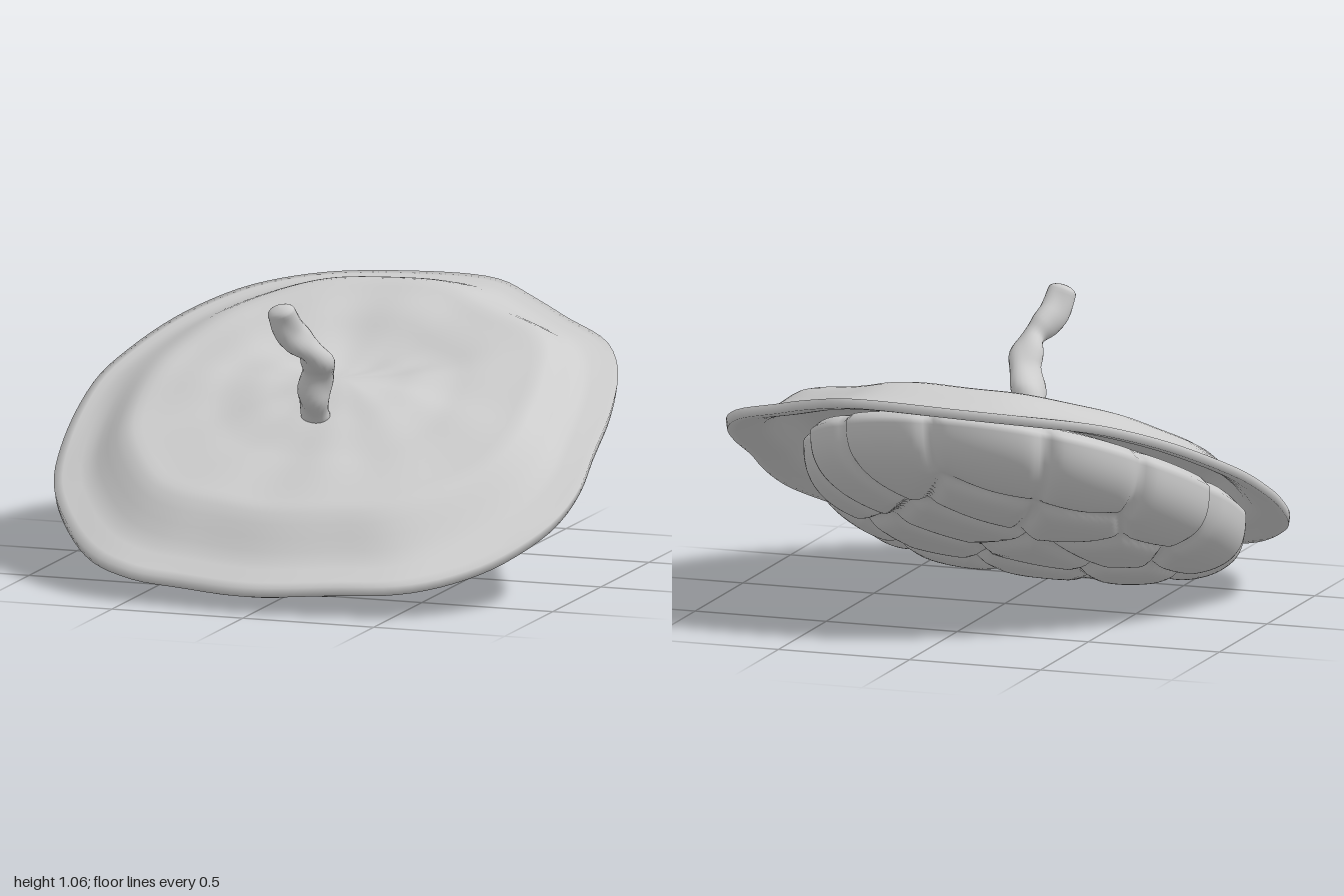
import * as THREE from 'three';

const stone = new THREE.MeshStandardMaterial({ color: 0xcccccc });
stone.name = 'pale grey';
const { smoothstep, lerp } = THREE.MathUtils;

// Closed-around grid surface: rows run outward from the top, columns counterclockwise from above
function gridSurface(name, rows, cols, pointAt) {
  const pos = [], index = [];
  for (let i = 0; i <= rows; i++)
    for (let j = 0; j < cols; j++) pos.push(...pointAt(i, j / cols));
  for (let i = 0; i < rows; i++)
    for (let j = 0; j < cols; j++) {
      const k = (j + 1) % cols;
      const a = i * cols + j, b = a + cols, c = (i + 1) * cols + k, d = i * cols + k;
      index.push(a, b, c, a, c, d);
    }
  const g = new THREE.BufferGeometry();
  g.setAttribute('position', new THREE.Float32BufferAttribute(pos, 3));
  g.setIndex(index);
  g.computeVertexNormals();
  const mesh = new THREE.Mesh(g, stone);
  mesh.name = name;
  return mesh;
}

const outline = (pts) =>
  new THREE.CatmullRomCurve3(pts.map(([x, z]) => new THREE.Vector3(x, 0, z)), true, 'centripetal');

// Smooth interpolation through [key, value] pairs
function profile(pts, s) {
  for (let i = 1; i < pts.length; i++)
    if (s <= pts[i][0]) {
      const [a, va] = pts[i - 1], [b, vb] = pts[i];
      return lerp(va, vb, smoothstep(s, a, b));
    }
  return pts[pts.length - 1][1];
}

// The whole cap slopes down to the front
const slope = (z) => 0.52 - 0.46 * z;

const capEdge = outline([
  [1, 0.2], [0.985, 0.02], [0.96, -0.22], [0.9, -0.45], [0.8, -0.6], [0.6, -0.71], [0.45, -0.8], [0.3, -0.89],
  [0.15, -0.92], [-0.2, -0.92], [-0.4, -0.88], [-0.6, -0.77], [-0.8, -0.58], [-0.93, -0.38], [-1, -0.2],
  [-1, 0.14], [-0.95, 0.38], [-0.8, 0.62], [-0.65, 0.77], [-0.5, 0.84], [-0.3, 0.87], [0, 0.91], [0.3, 0.88],
  [0.55, 0.83], [0.75, 0.68], [0.9, 0.5], [0.97, 0.36],
]);
const steepSide = [[0, 0.2], [0.25, 0.185], [0.45, 0.155], [0.72, 0.14], [0.9, 0.015], [1, 0]];
const gentleSide = [[0, 0.2], [0.25, 0.19], [0.45, 0.17], [0.66, 0.138], [0.97, 0.005], [1, 0]];

function capTop(s, x, z, t) {
  const a = t * Math.PI * 2;
  // Steep shoulder at the front and left, gentler toward the back
  const gentle = smoothstep(-0.4 * x - z, -0.1, 0.6);
  const h = lerp(profile(steepSide, s), profile(gentleSide, s), gentle);
  const hollow = 0.09 * Math.exp(-(x * x / 0.14 + (z + 0.25) ** 2 / 0.045));
  const ridge = 0.02 * Math.exp(-((x - 0.05) ** 2 / 0.04 + (z - 0.07) ** 2 / 0.008));
  const wrinkle = 0.003 * (Math.sin(11 * a + 4 * s) + Math.sin(7 * a - 6 * s)) * Math.sin(Math.PI * s) ** 2;
  const wave = 0.008 * s ** 4 * Math.sin(5 * a + 1);
  const cornerDroop = 0.025 * s ** 4 * smoothstep(Math.abs(x), 0.5, 0.85) * smoothstep(z, 0.05, 0.4);
  const rearDroop = 0.012 * smoothstep(-z, 0.72, 0.92);
  return slope(z) + h - hollow + ridge + wrinkle + wave - cornerDroop - rearDroop;
}

// Thin wavy sheet with upper and lower skin
function makeCap() {
  const cols = 120, half = 32;
  const edge = Array.from({ length: cols }, (_, j) => capEdge.getPointAt(j / cols));
  return gridSurface('cap', half * 2 + 1, cols, (i, t) => {
    const under = i > half;
    const s = (under ? half * 2 + 1 - i : i) / half;
    const p = edge[Math.round(t * cols)];
    const r = under ? s * 0.995 : s;
    const x = p.x * r, z = p.z * r;
    return [x, capTop(s, x, z, t) - (under ? 0.035 : 0), z];
  });
}

const bodyEdge = outline([
  [0.71, 0.02], [0.65, -0.33], [0.47, -0.65], [0.18, -0.84], [-0.2, -0.87], [-0.55, -0.71], [-0.78, -0.35],
  [-0.85, 0.05], [-0.78, 0.4], [-0.54, 0.64], [-0.1, 0.72], [0.3, 0.67], [0.63, 0.48],
]);
// Centres of the rounded lobes on the underside
const lobes = [
  [0.6, -0.28], [0.4, -0.56], [0.05, -0.35], [0.3, -0.04], [0.64, 0.04], [0.6, 0.37], [-0.14, -0.01],
  [-0.03, 0.25], [0.33, 0.33], [-0.38, 0.26], [-0.43, -0.1], [-0.13, -0.57], [0.2, -0.76], [-0.25, -0.8],
  [-0.4, -0.4], [-0.55, -0.62], [-0.1, 0.58], [0.28, 0.6], [-0.6, 0.48], [-0.74, 0.12], [-0.74, -0.28],
];

// Strength of the crease between the two nearest lobes
function crease(x, z) {
  const d = lobes.map(([a, b]) => Math.hypot(x - a, z - b)).sort((a, b) => a - b);
  return 1 / (1 + ((d[1] - d[0]) / 0.05) ** 2);
}

function makeBody() {
  const cols = 240, rows = 76;
  const edge = Array.from({ length: cols }, (_, j) => bodyEdge.getPointAt(j / cols));
  return gridSurface('lobedUnderside', rows, cols, (i, t) => {
    const p = edge[Math.round(t * cols)];
    const shoulder = [[0.75, 0.03], [0.88, 0], [0.96, -0.02]][i];
    let r, h;
    if (shoulder) [r, h] = shoulder;
    else {
      const a = ((i - 3) / (rows - 3)) * Math.PI / 2;
      r = Math.max(0, Math.cos(a)) ** 0.7;
      // Shallower at the front, deeper toward the right side
      const depth = 0.3 - 0.03 * p.x * r - 0.055 * smoothstep(p.z * r, 0.25, 0.65);
      h = -0.05 - depth * Math.sin(a) ** 0.7;
    }
    const c = crease(p.x * r, p.z * r);
    const inset = 1 - 0.05 * c * r ** 4;
    const x = p.x * r * inset, z = p.z * r * inset;
    return [x, slope(z) + h * (1 - 0.14 * c), z];
  });
}

// Twisted stalk leaning to the front, built from the tip down
function makeStalk() {
  const path = new THREE.CatmullRomCurve3([
    [-0.018, 1.045, 0.55], [0.0, 0.97, 0.51], [0.055, 0.89, 0.44], [0.05, 0.82, 0.35],
    [0.01, 0.72, 0.28], [-0.01, 0.64, 0.23], [-0.01, 0.57, 0.19],
  ].map((p) => new THREE.Vector3(...p)));
  const radii = [[0, 0.046], [0.22, 0.052], [0.3, 0.046], [0.45, 0.056], [0.55, 0.05], [0.72, 0.068], [0.9, 0.05], [1, 0.045]];
  const rows = 60, cols = 24;
  const side = new THREE.Vector3(1, 0, 0);
  return gridSurface('stalk', rows, cols, (i, t) => {
    const u = Math.max(0, (i - 5) / (rows - 5));
    const p = path.getPointAt(u);
    const down = path.getTangentAt(u);
    const back = new THREE.Vector3().crossVectors(side, down).normalize();
    const right = new THREE.Vector3().crossVectors(down, back).normalize();
    const a = t * Math.PI * 2;
    const dome = i < 5 ? Math.sin((i / 5) * Math.PI / 2) : 1;
    const r = profile(radii, u) * dome * (1 + 0.15 * Math.cos(2 * a + 13 * u));
    p.addScaledVector(right, Math.cos(a) * r).addScaledVector(back, -Math.sin(a) * r);
    if (i < 5) p.addScaledVector(down, -0.025 * Math.cos((i / 5) * Math.PI / 2));
    return p.toArray();
  });
}

export function createModel() {
  const model = new THREE.Group();
  model.name = 'lobedCap';
  // Surfaces are thin, so both faces are kept visible
  stone.side = THREE.DoubleSide;
  model.add(makeCap(), makeBody(), makeStalk());
  return model;
}
